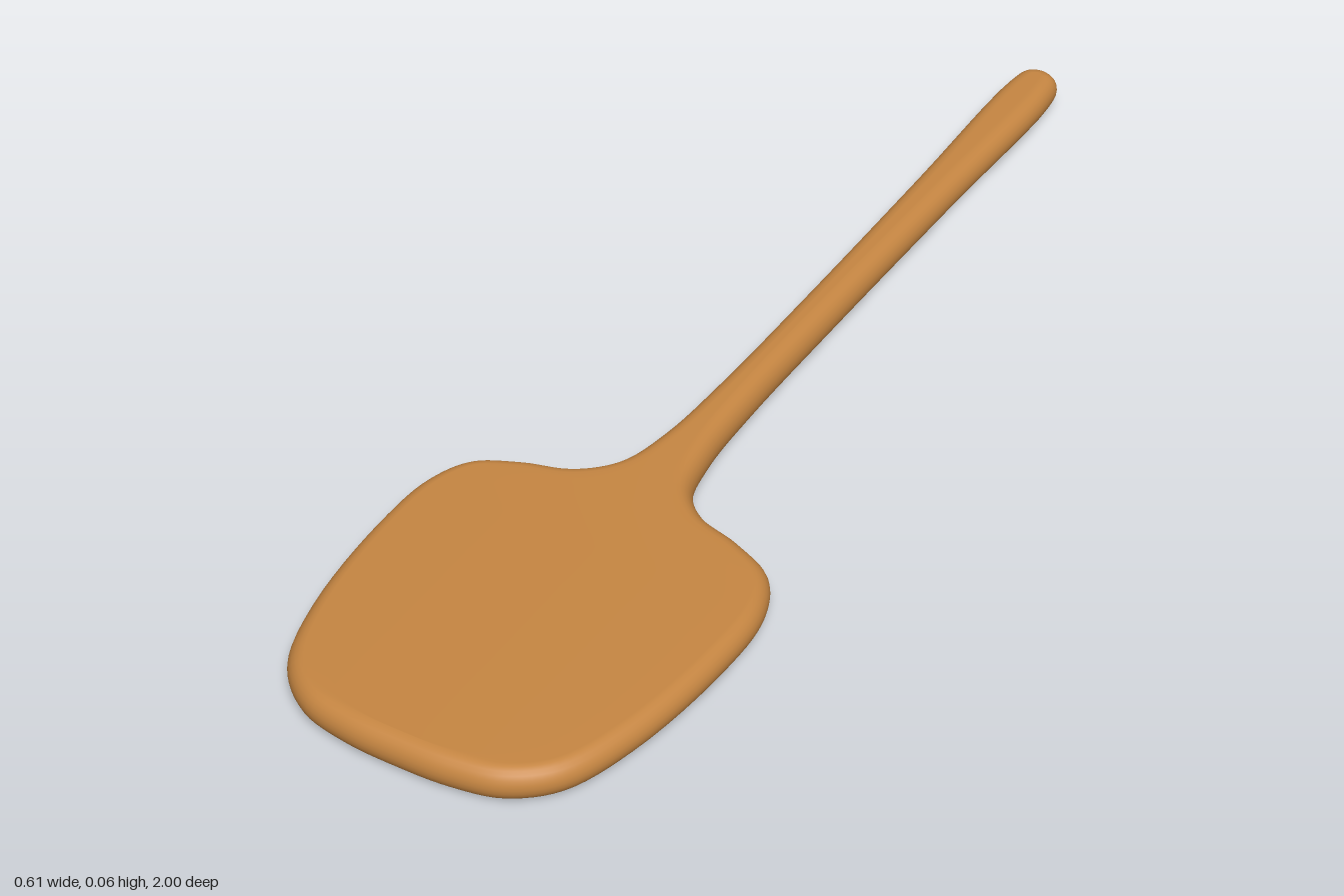
import * as THREE from 'three';

// Right half of the outline (x, z), from the blade's front edge to the handle's end
const half = [
  [0, 0.998], [0.09, 0.994], [0.17, 0.975], [0.235, 0.92], [0.278, 0.8], [0.302, 0.6],
  [0.296, 0.48], [0.262, 0.41], [0.19, 0.372], [0.115, 0.348], [0.066, 0.3],
  [0.043, 0.21], [0.034, 0.06], [0.033, -0.2], [0.037, -0.6], [0.042, -0.94],
  [0.031, -0.986], [0, -1],
];

// Underside and top heights: the handle sits slightly higher than the blade
const bottomAt = z => 0.008 * THREE.MathUtils.smoothstep(-z, -0.2, 1);
const topAt = z => 0.061 + 0.004 * THREE.MathUtils.smoothstep(-z, -0.5, 0);

function paddleGeometry() {
  const mirrored = half.slice(1, -1).reverse().map(([x, z]) => [-x, z]);
  const outline = new THREE.CatmullRomCurve3(
    [...half, ...mirrored].map(([x, z]) => new THREE.Vector3(x, 0, z)), true, 'centripetal');
  const N = (half.length - 1) * 2 * 6, K = 12, M = 8, inset = 0.026;
  const pos = [], index = [];

  // Adds a point at level s (-1 underside, 1 top), thinning gently toward the sides
  const add = (x, z, s) => {
    const lo = bottomAt(z), hi = topAt(z);
    const h = (hi - lo) / 2 * (1 - 0.13 * (x / 0.3) ** 2);
    pos.push(x, (lo + hi) / 2 + h * s, z);
    return pos.length / 3 - 1;
  };

  // Rounded rim: rings of the outline, inset toward the top and underside
  for (let k = 0; k <= K; k++) {
    const a = (k / K - 0.5) * Math.PI, d = inset * (1 - Math.cos(a));
    for (let i = 0; i < N; i++) {
      const p = outline.getPoint(i / N), t = outline.getTangent(i / N);
      add(p.x + t.z * d, p.z - t.x * d, Math.sin(a));
    }
  }
  for (let k = 0; k < K; k++) {
    for (let i = 0; i < N; i++) {
      const j = (i + 1) % N, a = k * N + i, b = k * N + j;
      index.push(a, b, b + N, a, b + N, a + N);
    }
  }

  // Top and underside: rows joining each rim point with its mirror point
  for (const s of [-1, 1]) {
    const base = s > 0 ? K * N : 0, rows = [];
    for (let i = 0; i <= N / 2; i++) {
      const r = base + i, l = base + (N - i) % N, row = [r];
      for (let j = 1; j < M; j++) {
        row.push(r === l ? r : add(
          THREE.MathUtils.lerp(pos[r * 3], pos[l * 3], j / M), pos[r * 3 + 2], s));
      }
      rows.push([...row, l]);
    }
    const tri = (a, b, c) => {
      if (a !== b && b !== c && a !== c) index.push(...(s > 0 ? [a, b, c] : [a, c, b]));
    };
    for (let i = 0; i < N / 2; i++) {
      for (let j = 0; j < M; j++) {
        const [a, b, c, d] = [rows[i][j], rows[i + 1][j], rows[i + 1][j + 1], rows[i][j + 1]];
        tri(a, b, c);
        tri(a, c, d);
      }
    }
  }

  const geometry = new THREE.BufferGeometry();
  geometry.setAttribute('position', new THREE.Float32BufferAttribute(pos, 3));
  geometry.setIndex(index);
  geometry.computeVertexNormals();
  return geometry;
}

export function createModel() {
  const wood = new THREE.MeshStandardMaterial({ color: 0xc68642 });
  wood.name = 'wood';

  // Blade and handle are carved from one piece
  const spatula = new THREE.Mesh(paddleGeometry(), wood);
  spatula.name = 'bladeAndHandle';

  const group = new THREE.Group();
  group.name = 'spatula';
  group.add(spatula);
  return group;
}
